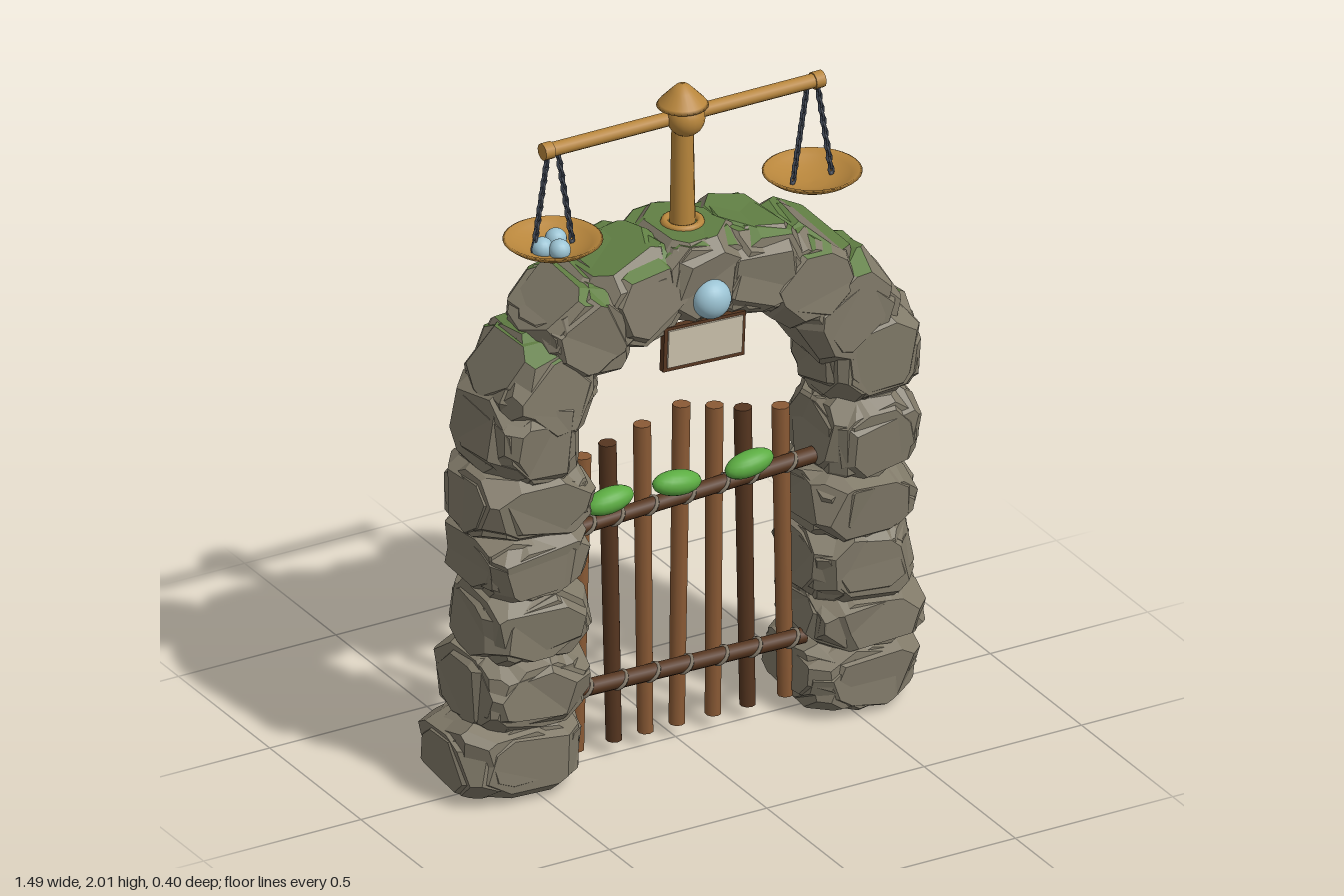
import * as THREE from 'three';
import { ConvexGeometry } from 'three/addons/geometries/ConvexGeometry.js';

const mat = (name, color) => {
  const m = new THREE.MeshStandardMaterial({ color, side: THREE.DoubleSide });
  m.name = name;
  return m;
};
const V = (x, y, z) => new THREE.Vector3(x, y, z);

let seed = 7;
const rnd = () => {
  seed = (seed * 16807) % 2147483647;
  return seed / 2147483647;
};
const range = (a, b) => a + (b - a) * rnd();

// Chiselled block: a unit cube cut by jittered face, edge and corner planes
function chiselledPoints() {
  const planes = [];
  for (let x = -1; x <= 1; x++) for (let y = -1; y <= 1; y++) for (let z = -1; z <= 1; z++) {
    const k = Math.abs(x) + Math.abs(y) + Math.abs(z);
    if (!k) continue;
    const j = k === 1 ? 0.1 : 0.3;
    const n = V(x + range(-j, j), y + range(-j, j), z + range(-j, j)).normalize();
    const cut = k === 1 ? range(0.88, 0.98) : k === 2 ? range(0.72, 0.86) : range(0.6, 0.73);
    planes.push({ n, d: Math.sqrt(k) * cut });
  }
  const points = [], N = planes.length;
  for (let a = 0; a < N; a++) for (let b = a + 1; b < N; b++) for (let c = b + 1; c < N; c++) {
    const [A, B, C] = [planes[a], planes[b], planes[c]];
    const bc = B.n.clone().cross(C.n), det = A.n.dot(bc);
    if (Math.abs(det) < 0.02) continue;
    const p = bc.multiplyScalar(A.d)
      .addScaledVector(C.n.clone().cross(A.n), B.d)
      .addScaledVector(A.n.clone().cross(B.n), C.d).divideScalar(det);
    if (planes.some(q => q.n.dot(p) > q.d + 1e-6)) continue;
    if (!points.some(q => q.distanceTo(p) < 1e-3)) points.push(p);
  }
  return points;
}

export function createModel() {
  const model = new THREE.Group();
  const stone = mat('stone', 0x817a69), moss = mat('moss', 0x617f44), leaf = mat('brightGreen', 0x5cad42);
  const gold = mat('gold', 0xb8863c), iron = mat('iron', 0x434a57), gem = mat('paleBlue', 0x9cc4d4);
  const wood = mat('wood', 0x8a5a35), darkWood = mat('darkWood', 0x563620);
  const parchment = mat('parchment', 0xc9bfaa), rope = mat('rope', 0x8c8272);

  const add = (name, geo, material, x = 0, y = 0, z = 0, parent = model) => {
    const m = new THREE.Mesh(geo, material);
    m.name = name;
    m.position.set(x, y, z);
    parent.add(m);
    return m;
  };
  const group = name => {
    const g = new THREE.Group();
    g.name = name;
    model.add(g);
    return g;
  };
  const rod = (name, a, b, r0, r1, sides, material, parent) => {
    const geo = new THREE.CylinderGeometry(r1, r0, a.distanceTo(b), sides);
    const c = a.clone().add(b).multiplyScalar(0.5);
    const m = add(name, geo, material, c.x, c.y, c.z, parent);
    m.quaternion.setFromUnitVectors(V(0, 1, 0), b.clone().sub(a).normalize());
    return m;
  };

  // One stone from three overlapping chiselled blocks; faces pointing up past mossLimit turn green
  const rock = (name, x, y, w, h, parent, angle = 0, mossLimit = 2, brightLimit = 2) => {
    for (let i = 0; i < 3; i++) {
      const geo = new ConvexGeometry(chiselledPoints());
      geo.scale(w / 2, h / 2, range(0.163, 0.178));
      geo.rotateY(range(-0.06, 0.06));
      geo.rotateZ(angle + range(-0.07, 0.07));
      geo.translate(x, y, -0.01);
      geo.computeVertexNormals();
      const n = geo.attributes.normal;
      for (let f = 0; f < n.count; f += 3) {
        const up = n.getY(f);
        geo.addGroup(f, 3, up < mossLimit ? 0 : i === 2 && up > brightLimit ? 2 : 1);
      }
      add(name, geo, [stone, moss, leaf], 0, 0, 0, parent);
    }
  };

  // Pillars: x min, x max, y min, y max of each stone
  const pillars = {
    rightPillar: [[-0.74, -0.335, 0.005, 0.23], [-0.69, -0.325, 0.205, 0.435], [-0.66, -0.335, 0.4, 0.64],
      [-0.665, -0.335, 0.605, 0.815], [-0.675, -0.33, 0.775, 0.985]],
    leftPillar: [[0.36, 0.72, 0.005, 0.205], [0.385, 0.73, 0.175, 0.365], [0.375, 0.705, 0.33, 0.565],
      [0.375, 0.705, 0.525, 0.73], [0.425, 0.71, 0.69, 0.96]],
  };
  for (const [name, stones] of Object.entries(pillars)) {
    const g = group(name);
    for (const [x0, x1, y0, y1] of stones) {
      rock('pillarStone', (x0 + x1) / 2, (y0 + y1) / 2, x1 - x0, y1 - y0 + 0.01, g);
    }
  }

  // Arch: x, y, length along the arch, thickness, angle, moss limit, bright limit
  const arch = group('arch');
  [[-0.495, 1.08, 0.29, 0.28, 1.5, 0.88], [-0.45, 1.22, 0.28, 0.28, 1.05, 0.82],
    [-0.33, 1.355, 0.28, 0.28, 0.65, 0.86], [-0.17, 1.43, 0.29, 0.265, 0.28, 0.78, 0.95],
    [0.02, 1.455, 0.29, 0.26, 0, 0.78], [0.2, 1.43, 0.29, 0.265, -0.25, 0.78],
    [0.36, 1.355, 0.28, 0.28, -0.6, 0.82], [0.49, 1.23, 0.28, 0.29, -0.98, 0.82],
    [0.575, 1.07, 0.3, 0.3, -1.5, 0.88]].forEach(([x, y, w, h, a, lim, br]) =>
    rock('archStone', x, y, w, h, arch, a, lim, br));

  // Gate: bottom x, top x, top y, dark or not
  const gate = group('gate');
  [[-0.31, -0.29, 0.93, 0], [-0.19, -0.21, 0.95, 1], [-0.09, -0.1, 0.98, 0], [0.01, 0.025, 1.01, 0],
    [0.125, 0.13, 0.98, 0], [0.235, 0.22, 0.95, 1], [0.355, 0.34, 0.925, 0]].forEach(([x0, x1, top, dark]) => {
    rod('gateStake', V(x0, 0.03, -0.01), V(x1, top, -0.01), 0.023, 0.026, 9, dark ? darkWood : wood, gate);
    // Rope ties where the stake crosses each rail
    for (const y of [0.23, 0.75]) {
      const x = x0 + (x1 - x0) * y;
      const tie = add('ropeTie', new THREE.TorusGeometry(0.027, 0.006, 5, 14), rope, x,
        y < 0.5 ? 0.228 - x * 0.02 : 0.75 + x * 0.047, 0.03, gate);
      tie.rotation.set(0, Math.PI / 2, -0.65, 'ZYX');
    }
  });
  rod('lowerRail', V(-0.37, 0.236, 0.03), V(0.39, 0.22, 0.03), 0.025, 0.023, 10, darkWood, gate);
  rod('upperRail', V(-0.34, 0.734, 0.03), V(0.42, 0.77, 0.03), 0.022, 0.025, 10, darkWood, gate);
  for (const [x, tilt] of [[-0.24, 0.14], [-0.025, -0.12], [0.205, 0.17]]) {
    const l = add('gateLeaf', new THREE.SphereGeometry(1, 18, 12), leaf, x, 0.806, 0.05, gate);
    l.scale.set(0.076, 0.036, 0.04);
    l.rotation.z = tilt;
  }

  // Hanging sign with a thin frame
  const sign = group('sign');
  sign.position.set(0.012, 1.27, 0.128);
  sign.rotation.z = -0.04;
  add('signBoard', new THREE.BoxGeometry(0.258, 0.134, 0.02), darkWood, 0, 0, 0, sign);
  add('signFace', new THREE.BoxGeometry(0.236, 0.112, 0.008), parchment, 0, 0.002, 0.012, sign);

  // Keystone orb, slightly flattened
  add('keystoneOrb', new THREE.SphereGeometry(0.057, 24, 16), gem, 0.024, 1.407, 0.156).scale.z = 0.85;

  // Balance scale
  const scale = group('balanceScale');
  rod('scalePost', V(0.025, 1.55, -0.005), V(0.025, 1.95, -0.005), 0.037, 0.03, 10, gold, scale);
  add('postCollar', new THREE.TorusGeometry(0.05, 0.012, 8, 24), gold, 0.025, 1.575, -0.005, scale).rotation.x = Math.PI / 2;
  rod('beam', V(-0.42, 1.902, -0.007), V(0.47, 1.902, -0.007), 0.021, 0.021, 10, gold, scale);
  for (const x of [-0.405, 0.455]) {
    rod('beamEnd', V(x - 0.015, 1.902, -0.007), V(x + 0.015, 1.902, -0.007), 0.025, 0.025, 10, gold, scale);
  }
  add('hub', new THREE.SphereGeometry(0.054, 20, 14), gold, 0.025, 1.905, 0.013, scale);
  const finialProfile = [[0, 1.936], [0.073, 1.936], [0.066, 1.946], [0.034, 1.98], [0.018, 1.996], [0, 2]];
  add('finial', new THREE.LatheGeometry(finialProfile.map(p => new THREE.Vector2(...p)), 24), gold,
    0.025, 0, -0.005, scale);

  // Pans on chains
  const panProfile = [[0, 1.583], [0.05, 1.586], [0.09, 1.597], [0.12, 1.613], [0.139, 1.628],
    [0.131, 1.632], [0.11, 1.62], [0.08, 1.604], [0.04, 1.594], [0, 1.592]].map(p => new THREE.Vector2(...p));
  const linkGeo = new THREE.TorusGeometry(0.007, 0.004, 5, 8);
  linkGeo.scale(1, 1.9, 1);
  for (const px of [-0.387, 0.437]) {
    add('pan', new THREE.LatheGeometry(panProfile, 32), gold, px, 0, -0.005, scale);
    for (const s of [-1, 1]) {
      const a = V(px + s * 0.016, 1.89, -0.005), b = V(px + s * 0.06, 1.615, -0.005);
      for (let i = 0; i <= 14; i++) {
        const p = a.clone().lerp(b, i / 14);
        const link = add('chainLink', linkGeo, iron, p.x, p.y, p.z, scale);
        link.rotation.set(0, i % 2 ? Math.PI / 2 : 0, s * 0.16, 'ZYX');
      }
    }
  }
  for (const [x, z] of [[-0.365, -0.027], [-0.425, 0.002], [-0.39, 0.037]]) {
    add('pearl', new THREE.SphereGeometry(0.031, 16, 12), gem, x, 1.612, z, scale);
  }
  return model;
}
